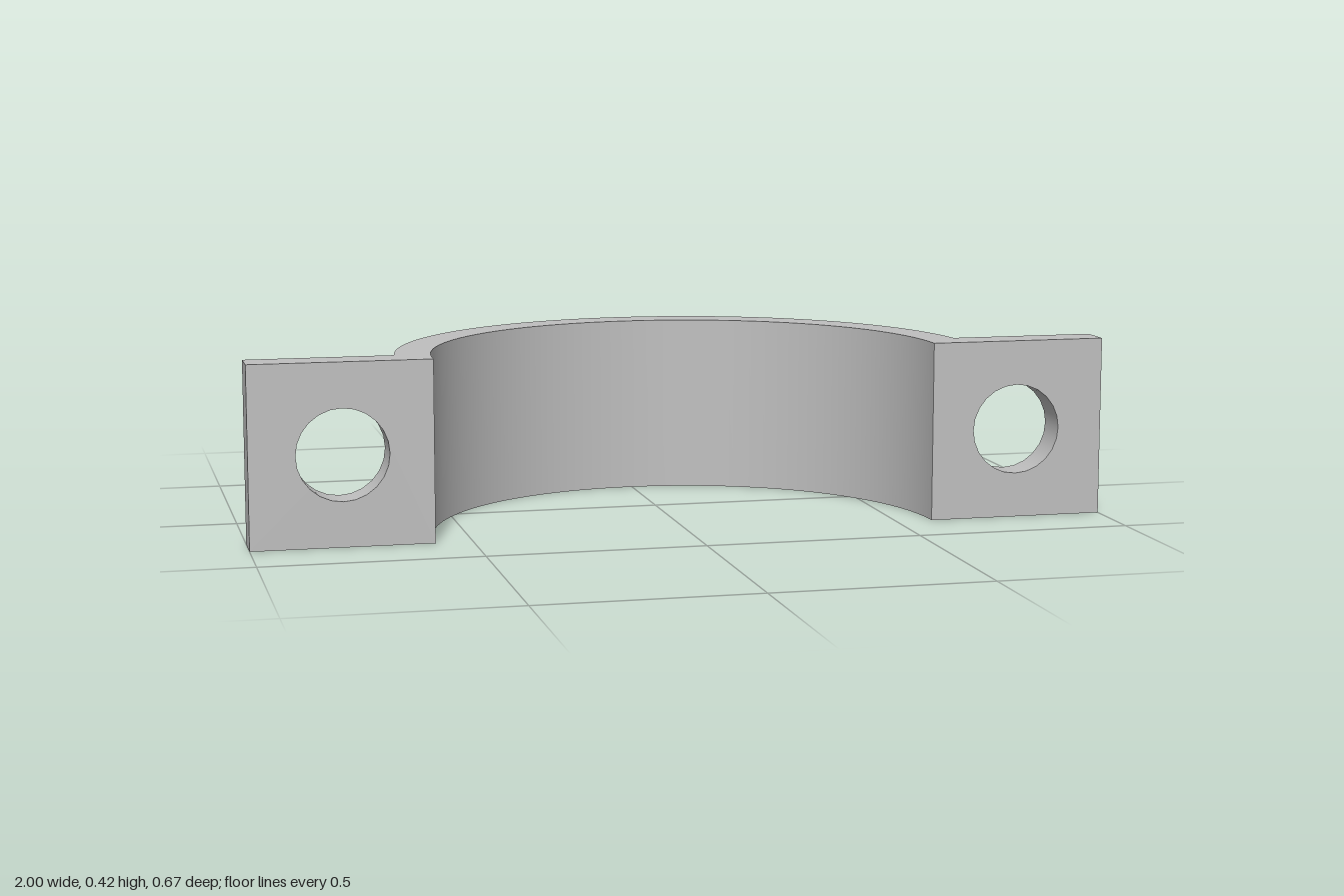
import * as THREE from 'three';
import { mergeGeometries } from 'three/addons/utils/BufferGeometryUtils.js';

const H = 0.417;            // height of the strap
const FRONT = 0.333;        // mounting plane, also the centre of the arc
const THICK = 0.083;
const BACK = FRONT - THICK; // rear face of the tabs
const R_OUT = 0.667, R_IN = 0.585;
const HOLE_X = 0.79, HOLE_R = 0.105;
const SEG = 64;
const START = Math.acos(-THICK / R_OUT);  // where the outer arc meets a tab
const CORNER = R_OUT * Math.sin(START);

// Turn a surface inside out
function flip(geo) {
  const index = geo.index.array;
  for (let i = 0; i < index.length; i += 3) [index[i], index[i + 1]] = [index[i + 1], index[i]];
  const n = geo.attributes.normal;
  for (let i = 0; i < n.count; i++) n.setXYZ(i, -n.getX(i), -n.getY(i), -n.getZ(i));
  return geo;
}

// Plan outline of the strap; sign mirrors it for the top or bottom cap
function outline(sign) {
  const pts = [];
  const add = (x, z) => pts.push(new THREE.Vector2(x, sign * z));
  const arc = (r, a, b) => {
    for (let i = 0; i <= SEG; i++) {
      const t = a + (b - a) * i / SEG;
      add(r * Math.sin(t), FRONT + r * Math.cos(t));
    }
  };
  add(1, FRONT);
  add(1, BACK);
  arc(R_OUT, START, 2 * Math.PI - START);
  add(-1, BACK);
  add(-1, FRONT);
  arc(R_IN, 1.5 * Math.PI, 0.5 * Math.PI);
  return new THREE.Shape(pts);
}

// Curved wall around the arc centre
function wall(r, start) {
  return new THREE.CylinderGeometry(r, r, H, SEG, 1, true, start, 2 * (Math.PI - start))
    .translate(0, H / 2, FRONT);
}

// Upright tab face with a round hole
function tabFace(side, inner) {
  const a = side * inner, b = side;
  const shape = new THREE.Shape([[a, 0], [b, 0], [b, H], [a, H]].map(p => new THREE.Vector2(...p)));
  const hole = new THREE.Path();
  hole.absarc(side * HOLE_X, H / 2, HOLE_R, 0, 2 * Math.PI, true);
  shape.holes.push(hole);
  return new THREE.ShapeGeometry(shape, 12);
}

export function createModel() {
  const group = new THREE.Group();
  group.name = 'pipeStrap';
  const metal = new THREE.MeshStandardMaterial({ color: 0xbfbfbf });
  metal.name = 'light grey metal';
  const add = (name, parts) => {
    const mesh = new THREE.Mesh(mergeGeometries(parts), metal);
    mesh.name = name;
    group.add(mesh);
  };

  // Half-round band walls
  add('band', [wall(R_OUT, START), flip(wall(R_IN, Math.PI / 2))]);

  // Flat upper and lower edges
  add('edges', [
    new THREE.ShapeGeometry(outline(-1)).rotateX(-Math.PI / 2).translate(0, H, 0),
    new THREE.ShapeGeometry(outline(1)).rotateX(Math.PI / 2),
  ]);

  // Mounting tabs: front, back, outer end and bolt hole
  for (const side of [1, -1]) {
    add(side > 0 ? 'leftTab' : 'rightTab', [
      tabFace(side, R_IN).translate(0, 0, FRONT),
      tabFace(-side, CORNER).rotateY(Math.PI).translate(0, 0, BACK),
      new THREE.PlaneGeometry(THICK, H).rotateY(side * Math.PI / 2)
        .translate(side, H / 2, (FRONT + BACK) / 2),
      flip(new THREE.CylinderGeometry(HOLE_R, HOLE_R, THICK, 24, 1, true))
        .rotateX(Math.PI / 2).translate(side * HOLE_X, H / 2, (FRONT + BACK) / 2),
    ]);
  }
  return group;
}
